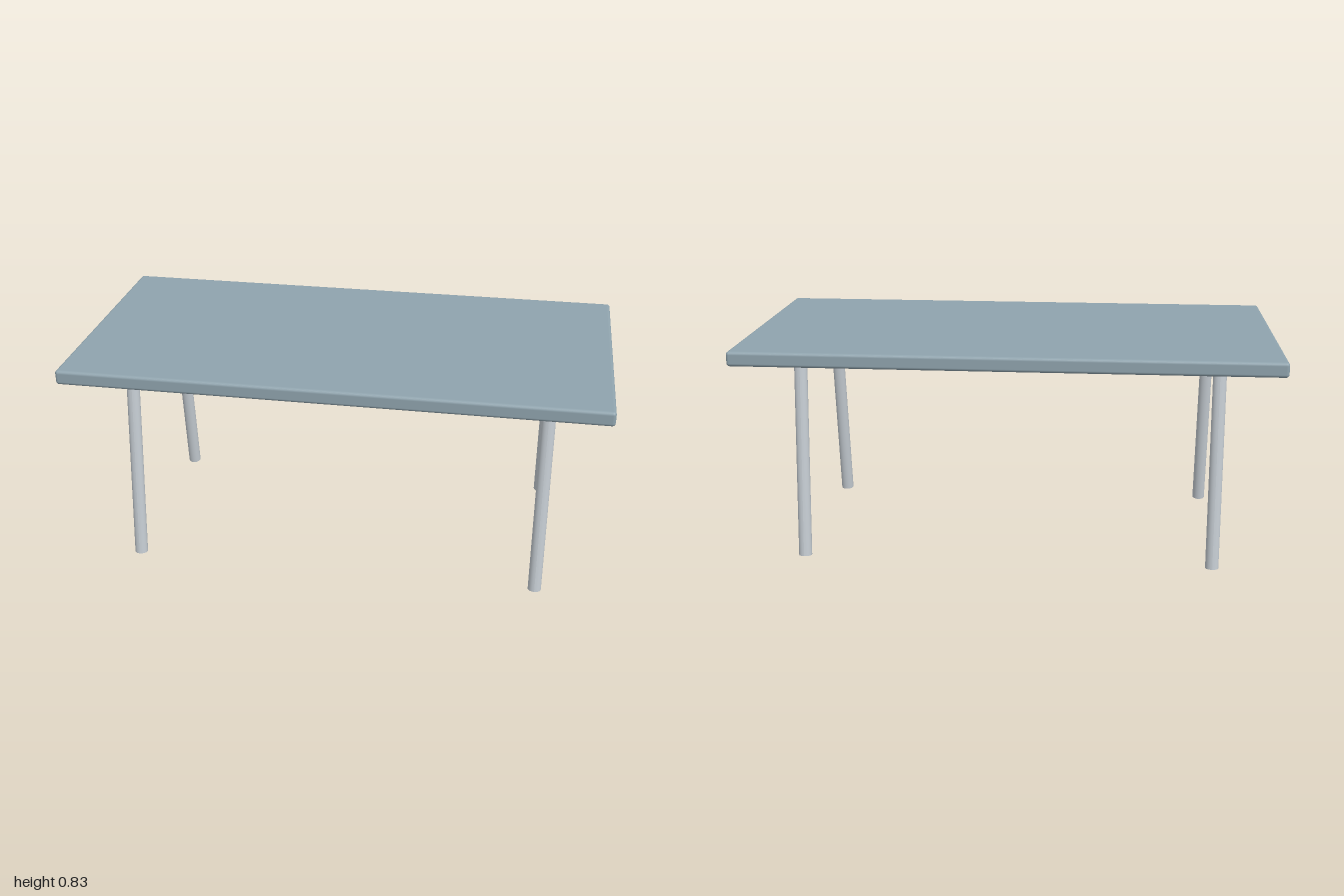
import * as THREE from 'three';
import { RoundedBoxGeometry } from 'three/addons/geometries/RoundedBoxGeometry.js';

const paint = (color) => new THREE.MeshStandardMaterial({ color });

function roundedBlock(name, w, h, d, r, y, material) {
  const mesh = new THREE.Mesh(new RoundedBoxGeometry(w, h, d, 3, r), material);
  mesh.name = name;
  mesh.position.y = y;
  return mesh;
}

// One continuous tube: front leg, mitred crossbar, back leg.
// Each ring is an ellipse spanning an outer and an inner point in the z-y plane.
function legFrameGeometry() {
  const half = [
    { outer: [0.405, 0.006], inner: [0.355, 0] },
    { outer: [0.311, 0.779], inner: [0.278, 0.755] },
  ];
  const flip = ({ outer, inner }) => ({ outer: [-outer[0], outer[1]], inner: [-inner[0], inner[1]] });
  const rings = [half[0], half[1], flip(half[1]), flip(half[0])];
  const sides = 24, halfWidth = 0.025;
  const positions = [], indices = [];

  const addRing = ({ outer, inner }) => {
    const start = positions.length / 3;
    for (let i = 0; i <= sides; i++) {
      const a = (i / sides) * Math.PI * 2;
      const t = (1 + Math.cos(a)) / 2;
      positions.push(
        Math.sin(a) * halfWidth,
        inner[1] + (outer[1] - inner[1]) * t,
        inner[0] + (outer[0] - inner[0]) * t,
      );
    }
    return start;
  };

  // Tube walls, with separate rings per section so the mitres stay crisp
  for (let s = 0; s < rings.length - 1; s++) {
    const a = addRing(rings[s]), b = addRing(rings[s + 1]);
    for (let i = 0; i < sides; i++) {
      indices.push(a + i, a + i + 1, b + i, a + i + 1, b + i + 1, b + i);
    }
  }
  // Flat feet
  const foot = addRing(rings[0]), backFoot = addRing(rings[3]);
  for (let i = 1; i < sides - 1; i++) {
    indices.push(foot, foot + i + 1, foot + i);
    indices.push(backFoot, backFoot + i, backFoot + i + 1);
  }

  const geometry = new THREE.BufferGeometry();
  geometry.setAttribute('position', new THREE.Float32BufferAttribute(positions, 3));
  geometry.setIndex(indices);
  geometry.computeVertexNormals();
  return geometry;
}

export function createModel() {
  const table = new THREE.Group();
  table.name = 'table';

  // Top board and the dark panel beneath it
  table.add(roundedBlock('tableTop', 2, 0.055, 1, 0.012, 0.8075, paint(0x8fa3ad)));
  table.add(roundedBlock('underPanel', 1.595, 0.032, 0.638, 0.008, 0.766, paint(0x25292c)));

  // Splayed leg frames at both ends
  const metal = paint(0xc3cad0);
  metal.side = THREE.DoubleSide;
  const frame = legFrameGeometry();
  for (const [name, x] of [['leftLegFrame', 0.78], ['rightLegFrame', -0.78]]) {
    const mesh = new THREE.Mesh(frame, metal);
    mesh.name = name;
    mesh.position.x = x;
    table.add(mesh);
  }
  return table;
}
